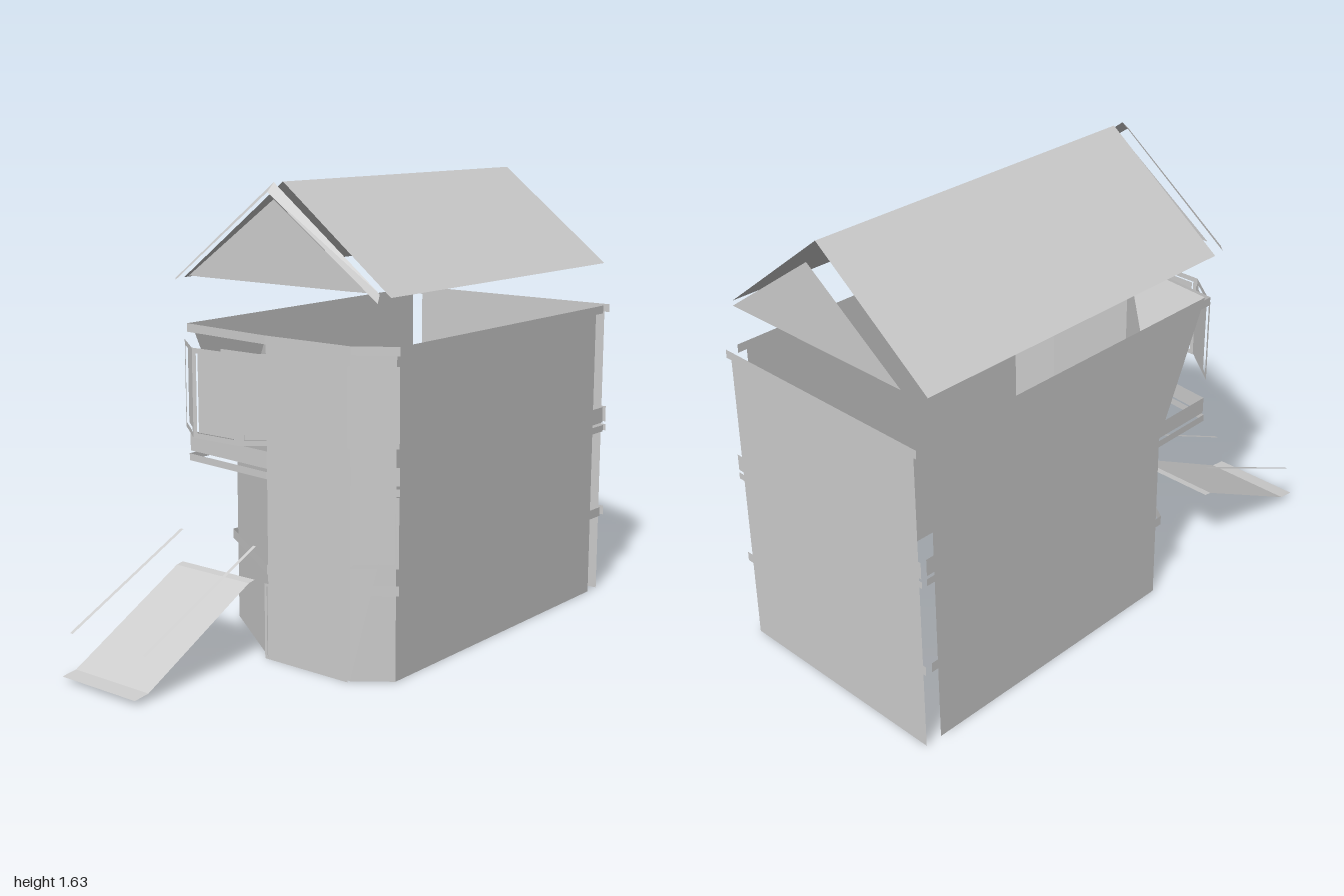
import * as THREE from 'three';

const grey = new THREE.MeshStandardMaterial({ color: 0xcccccc, flatShading: true, side: THREE.DoubleSide });

function add(parent, name, geometry) {
  const mesh = new THREE.Mesh(geometry, grey);
  mesh.name = name;
  parent.add(mesh);
}

// Surface between two rows of points; faces outward when rows run bottom, top and left to right
function strip(low, high) {
  const pos = [];
  for (let i = 0; i + 1 < low.length; i++) {
    const [a, b, c, d] = [low[i], low[i + 1], high[i + 1], high[i]];
    pos.push(...a, ...b, ...c, ...a, ...c, ...d);
  }
  const g = new THREE.BufferGeometry();
  g.setAttribute('position', new THREE.Float32BufferAttribute(pos, 3));
  g.computeVertexNormals();
  return g;
}

// Plan from the back left corner round the front to the back right corner, as [x, z]
function plan(leftZ, side = 0, front = 0, back = 0) {
  return [
    [-0.43 - side, -0.93 - back], [-0.43 - side, leftZ + front], [-0.05, 0.4 + front],
    [0.31 + side / 3, 0.4 + front], [0.43 + side, 0.31 + front], [0.43 + side, -0.93 - back],
  ];
}
const raise = (pts, y) => pts.map(([x, z]) => [x, y, z]);

// Thin band round the sides and front, with a separate length across the back
function band(parent, name, leftZ, y0, y1, side, front, back) {
  const group = new THREE.Group();
  group.name = name;
  const ring = plan(leftZ, side, front, back);
  add(group, name + 'Round', strip(raise(ring, y0), raise(ring, y1)));
  const rear = [[0.43 + side, -0.998], [-0.43 - side, -0.998]];
  add(group, name + 'Back', strip(raise(rear, y0), raise(rear, y1)));
  parent.add(group);
}

// Flat frame with a pane set just behind it, between two plan points a (left) and b (right)
function windowUnit(parent, name, a, b, y0, y1, rim = 0.014, recess = 0.004) {
  const w = Math.hypot(b[0] - a[0], b[1] - a[1]), h = y1 - y0;
  const rect = (Type, m) => new Type().moveTo(m, m).lineTo(w - m, m).lineTo(w - m, h - m).lineTo(m, h - m).closePath();
  const group = new THREE.Group();
  group.name = name;
  const frame = rect(THREE.Shape, 0);
  frame.holes.push(rect(THREE.Path, rim));
  add(group, name + 'Frame', new THREE.ShapeGeometry(frame));
  add(group, name + 'Pane', new THREE.ShapeGeometry(rect(THREE.Shape, rim)).translate(0, 0, -recess));
  group.position.set(a[0], y0, a[1]);
  group.rotation.y = -Math.atan2(b[1] - a[1], b[0] - a[0]);
  parent.add(group);
}

export function createModel() {
  const house = new THREE.Group();
  house.name = 'house';

  // Hollow walls with a slanted entrance corner, open at the top and the bottom
  const low = plan(0.14);
  add(house, 'lowerWalls', strip(raise(low, 0), raise(low, 0.65)));

  // Upper storey, its left corner leaning out over the entrance
  add(house, 'upperWalls', strip(raise(low, 0.65), raise(plan(0.36), 1.12)));

  // Back wall, standing a little clear of the side walls
  const back = [[0.43, -0.993], [-0.43, -0.993]];
  add(house, 'backWall', strip(raise(back, 0), raise(back, 1.12)));

  // Horizontal bands
  band(house, 'lowerBand', 0.14, 0.3, 0.335, 0.018, 0.006, 0.042);
  band(house, 'middleBand', 0.36, 0.635, 0.66, 0.018, 0.006, 0.047);
  band(house, 'upperBand', 0.36, 0.67, 0.73, 0.016, 0.002, 0.045);
  band(house, 'topBand', 0.36, 1.095, 1.125, 0.018, 0.006, 0.022);

  // Bay window in three leaves
  const bay = [[-0.415, 0.412], [-0.265, 0.53], [-0.057, 0.53], [0.09, 0.412]];
  for (let i = 0; i < 3; i++) windowUnit(house, 'bayWindow' + (i + 1), bay[i], bay[i + 1], 0.77, 1.078, 0.018, 0.008);
  windowUnit(house, 'bayOpening', [-0.25, 0.408], [0.12, 0.408], 0.79, 1.06, 0.028);

  // Windows on the cut corner and at the back
  windowUnit(house, 'cornerWindowUpper', [0.308, 0.41], [0.442, 0.31], 0.79, 1.06);
  windowUnit(house, 'cornerWindowLower', [0.313, 0.407], [0.442, 0.31], 0.39, 0.63);
  for (const x of [0.305, -0.2]) windowUnit(house, 'backWindow', [x, -0.999], [x - 0.12, -0.999], 0.8, 1.045, 0.008, 0.002);

  // Wide door
  windowUnit(house, 'door', [-0.055, 0.414], [0.31, 0.414], 0, 0.27, 0.01);

  // Entrance ramp with flat ends, and sloping handrails
  const path = [[0.43, 0.28], [0.46, 0.275], [0.94, 0.025], [1, 0.018]];
  const row = (pts, x) => pts.map(([z, y]) => [x, y, z]);
  add(house, 'ramp', strip(row(path, -0.43), row(path, -0.085)));
  const rail = [[0.43, 0.4], [0.955, 0.155]];
  for (const x of [-0.43, -0.084]) add(house, 'handrail', strip(row(rail, x - 0.007), row(rail, x + 0.007)));

  // Roof sheets floating above the walls
  const eaves = [[-0.46, 1.285], [0, 1.63], [0.445, 1.285]];
  const at = (pts, z) => pts.map(([x, y]) => [x, y, z]);
  add(house, 'roof', strip(at(eaves, 0.363), at(eaves, -0.955)));

  // Front rake boards, tilted forward
  const rakeFront = at([[-0.425, 1.285], [0, 1.6], [0.452, 1.275]], 0.44);
  const rakeBack = at([[-0.457, 1.287], [0, 1.63], [0.435, 1.3]], 0.408);
  add(house, 'rakeBoards', strip(rakeFront, rakeBack));

  // Gable triangles, the front one with a sill board
  const gable = new THREE.Shape([[-0.39, 1.3], [0.39, 1.3], [0, 1.575]].map(([x, y]) => new THREE.Vector2(x, y)));
  add(house, 'frontGable', new THREE.ShapeGeometry(gable).translate(0, 0, 0.41));
  add(house, 'backGable', new THREE.ShapeGeometry(gable).translate(0, 0, -0.993));
  add(house, 'gableSill', new THREE.PlaneGeometry(0.68, 0.02).translate(0, 1.31, 0.414));
  return house;
}
